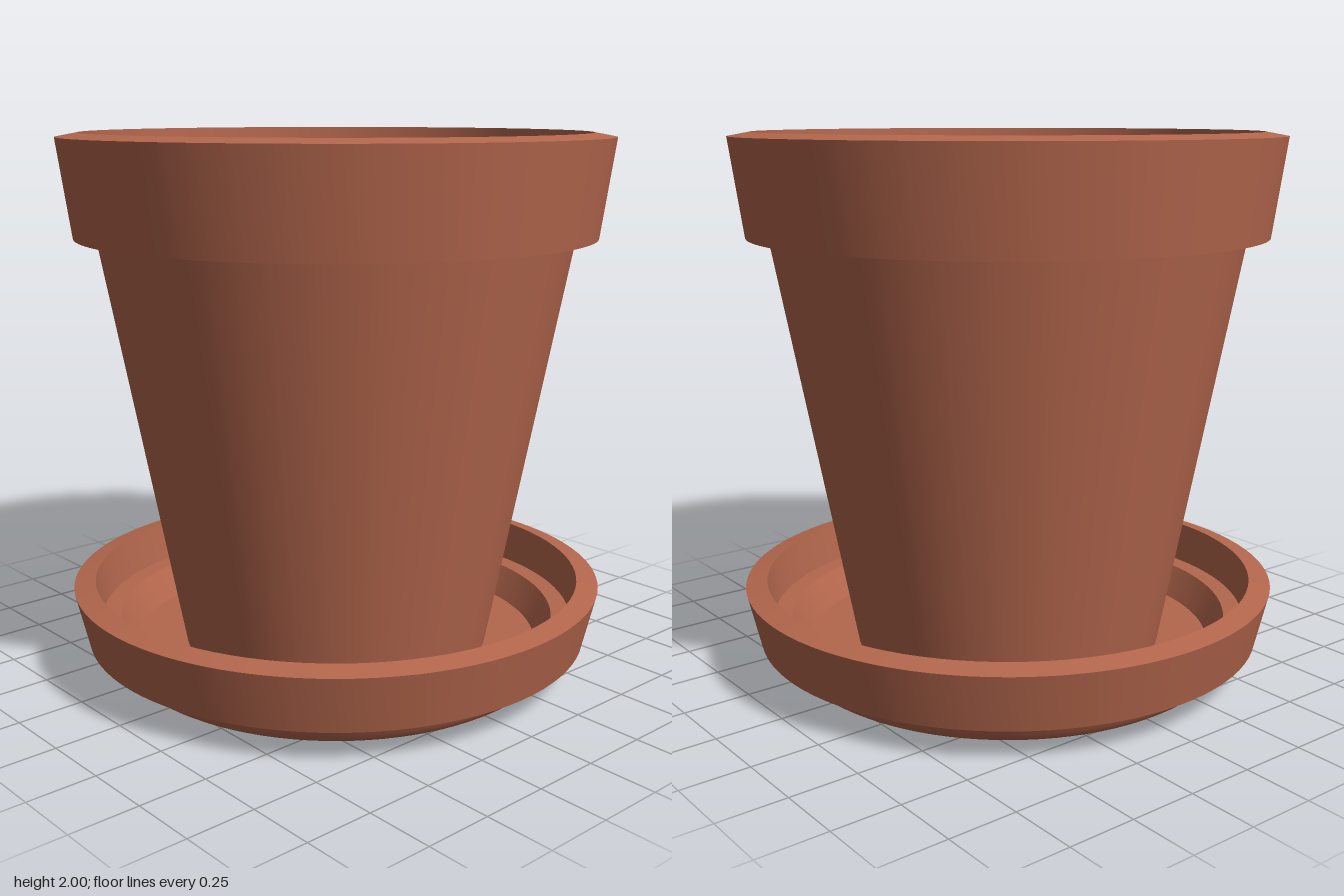
import * as THREE from 'three';
import { toCreasedNormals } from 'three/addons/utils/BufferGeometryUtils.js';

const SEGMENTS = 96;

// Profile runs from the underside centre, up the outside, over the rim and down the inside.
function turned(name, profile, material) {
  const points = profile.map(([r, y]) => new THREE.Vector2(r, y));
  const geometry = toCreasedNormals(new THREE.LatheGeometry(points, SEGMENTS), 0.45);
  const mesh = new THREE.Mesh(geometry, material);
  mesh.name = name;
  return mesh;
}

export function createModel() {
  const terracotta = new THREE.MeshStandardMaterial({ color: 0xb4674d });
  terracotta.name = 'terracotta';

  const group = new THREE.Group();
  group.name = 'flowerPotWithSaucer';

  // Tapered pot with an overhanging collar and an inner ledge
  group.add(turned('pot', [
    [0, 0.085], [0.58, 0.085], [0.87, 1.63],
    [0.95, 1.63], [1, 1.985],
    [0.92, 2], [0.9, 1.68],
    [0.83, 1.68], [0.505, 0.16], [0, 0.16],
  ], terracotta));

  // Shallow saucer with a rounded foot and matching collar
  group.add(turned('saucer', [
    [0, 0], [0.4, 0.003], [0.78, 0.009], [0.805, 0.013], [0.825, 0.026], [0.84, 0.048], [0.872, 0.115],
    [0.95, 0.115], [1, 0.325],
    [0.92, 0.342], [0.9, 0.19],
    [0.83, 0.19], [0.77, 0.08], [0, 0.08],
  ], terracotta));

  return group;
}
